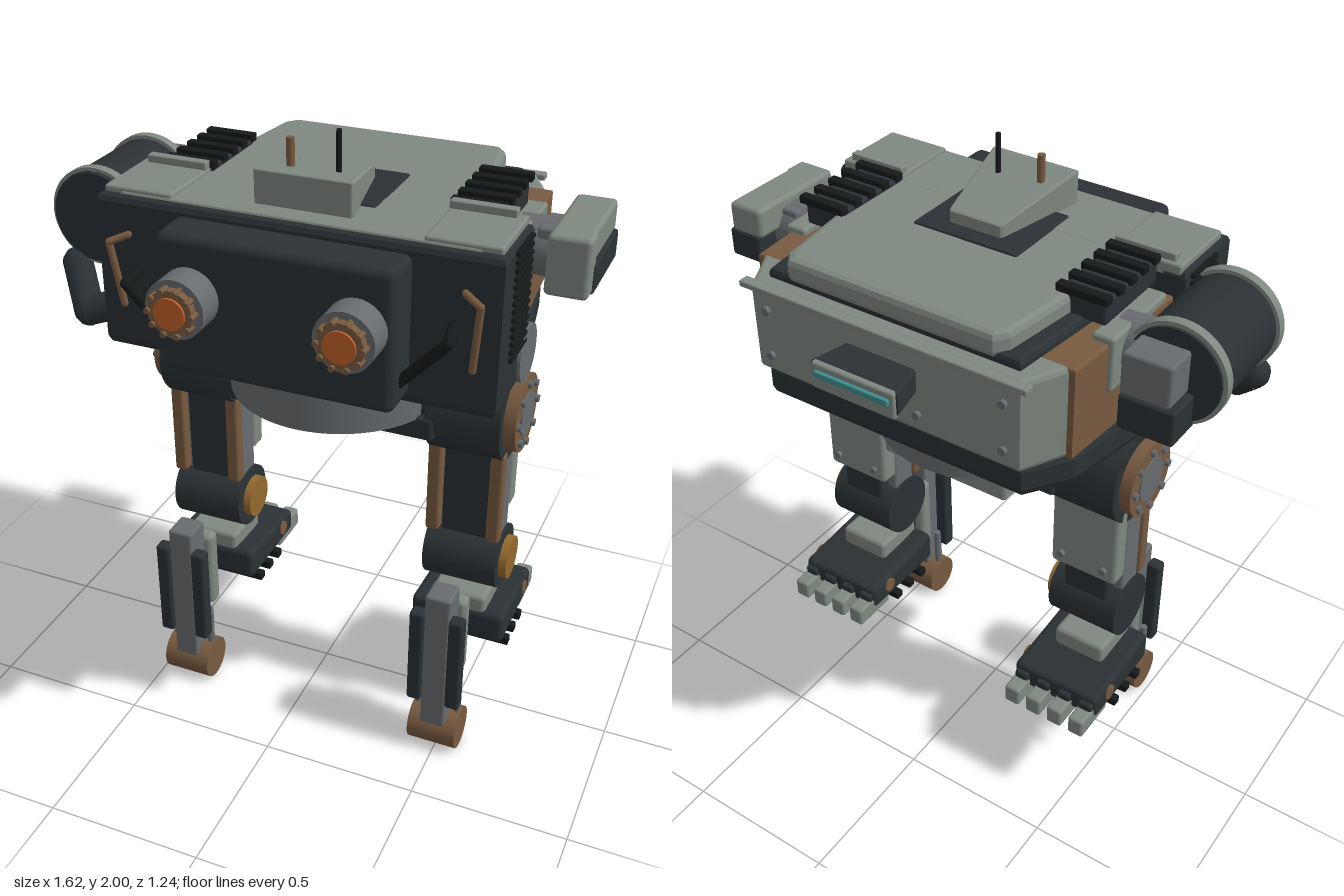
import * as THREE from 'three';
import { RoundedBoxGeometry } from 'three/addons/geometries/RoundedBoxGeometry.js';

const mat = (color) => new THREE.MeshStandardMaterial({ color });
const dark = mat(0x2b3134), light = mat(0x7f8881), grey = mat(0x686c6f), brown = mat(0x785a40),
  gold = mat(0x94692f), orange = mat(0xc0622a), teal = mat(0x3f8f90), black = mat(0x16191a);

function add(parent, name, geometry, material) {
  const m = new THREE.Mesh(geometry, material);
  m.name = name;
  parent.add(m);
  return m;
}

// Rounded box given by its lower and upper limits
function box(p, name, material, x0, x1, y0, y1, z0, z1, r = 0.01) {
  const w = Math.abs(x1 - x0), h = y1 - y0, d = Math.abs(z1 - z0);
  const m = add(p, name, new RoundedBoxGeometry(w, h, d, 2, Math.min(r, w / 3, h / 3, d / 3)), material);
  m.position.set((x0 + x1) / 2, (y0 + y1) / 2, (z0 + z1) / 2);
  return m;
}

// Cylinder centred on a point, along the x, y or z axis
function cyl(p, name, material, axis, x, y, z, r, len, sides = 32) {
  const g = new THREE.CylinderGeometry(r, r, len, sides);
  if (axis === 'x') g.rotateZ(Math.PI / 2);
  if (axis === 'z') g.rotateX(Math.PI / 2);
  const m = add(p, name, g, material);
  m.position.set(x, y, z);
  return m;
}

// Symmetric slab: half outline of [x, z] points, raised from y0 to y1
function slab(p, name, material, half, y0, y1, b = 0.015) {
  const pts = [...half, ...half.map(([x, z]) => [-x, z]).reverse()];
  const shape = new THREE.Shape(pts.map(([x, z]) => new THREE.Vector2(x, -z)));
  const g = new THREE.ExtrudeGeometry(shape, {
    depth: y1 - y0 - 2 * b, bevelThickness: b, bevelSize: b, bevelOffset: -b, bevelSegments: 2,
  });
  g.rotateX(-Math.PI / 2).translate(0, y0 + b, 0);
  return add(p, name, g, material);
}

// Bent rod through straight runs
function rod(p, name, material, pts, r) {
  const path = new THREE.CurvePath();
  const v = pts.map((a) => new THREE.Vector3(...a));
  for (let i = 1; i < v.length; i++) path.add(new THREE.LineCurve3(v[i - 1], v[i]));
  add(p, name, new THREE.TubeGeometry(path, 32, r, 10), material);
  for (const end of v) add(p, name + 'Joint', new THREE.SphereGeometry(r, 10, 8), material).position.copy(end);
}

function boltRing(p, axis, x, y, z, radius, count, r, len) {
  for (let i = 0; i < count; i++) {
    const a = (i / count) * Math.PI * 2, c = Math.cos(a) * radius, s = Math.sin(a) * radius;
    if (axis === 'x') cyl(p, 'bolt', grey, 'x', x, y + c, z + s, r, len, 8);
    else cyl(p, 'bolt', brown, 'z', x + c, y + s, z, r, len, 8);
  }
}

function buildHull(p) {
  slab(p, 'lowerHull', dark, [[0.6, 0.37], [0.6, 0.08], [0.53, -0.33], [0.44, -0.46]], 1.31, 1.43, 0.03);
  slab(p, 'frontHull', dark, [[0.6, 0.37], [0.6, 0.1]], 1.33, 1.79, 0.02);
  slab(p, 'sidePanels', brown, [[0.57, 0.12], [0.535, -0.36]], 1.42, 1.71, 0.008);
  slab(p, 'rearArmour', light, [[0.525, -0.345], [0.51, -0.37], [0.45, -0.485]], 1.42, 1.71);
  slab(p, 'upperDeck', dark, [[0.48, 0.15], [0.42, -0.44]], 1.69, 1.74);
  slab(p, 'topShell', light, [[0.46, 0.27], [0.43, 0.05], [0.37, -0.41], [0.34, -0.448]], 1.72, 1.795, 0.02);
  slab(p, 'frontDeck', light, [[0.53, 0.35], [0.53, 0.1]], 1.76, 1.797, 0.008);
  box(p, 'rearRail', light, -0.48, 0.48, 1.69, 1.71, -0.505, -0.47, 0.005);
  box(p, 'facePlate', dark, -0.35, 0.35, 1.34, 1.76, 0.3, 0.495, 0.025);
  for (const s of [-1, 1]) {
    box(p, 'cornerPlate', light, s * 0.37, s * 0.585, 1.775, 1.808, 0.1, 0.345, 0.008);
    // Roof vents and side louvres
    box(p, 'roofVent', dark, s * 0.365, s * 0.51, 1.73, 1.808, -0.17, 0.11);
    for (let i = 0; i < 5; i++)
      box(p, 'roofVentSlat', black, s * 0.36, s * 0.52, 1.8, 1.825, -0.185 + i * 0.065, -0.155 + i * 0.065, 0.004);
    box(p, 'ventEndCap', light, s * 0.37, s * 0.56, 1.808, 1.832, 0.11, 0.14, 0.004);
    for (let i = 0; i < 14; i++)
      box(p, 'sideLouvre', black, s * 0.59, s * 0.612, 1.45 + i * 0.024, 1.462 + i * 0.024, 0.13, 0.28, 0.003);
    cyl(p, 'sideBoss', grey, 'x', s * 0.575, 1.395, 0.095, 0.087, 0.07);
    // Bent guard bars on the face
    rod(p, 'guardBar', black, [[s * 0.33, 1.4, 0.43], [s * 0.48, 1.56, 0.44], [s * 0.47, 1.58, 0.36]], 0.017);
    rod(p, 'cheekBar', brown, [[s * 0.53, 1.46, 0.375], [s * 0.55, 1.66, 0.4], [s * 0.5, 1.68, 0.375]], 0.011);
    for (const [x, y] of [[0.4, 1.63], [0.4, 1.48], [0.12, 1.48]])
      cyl(p, 'rearBolt', grey, 'z', s * x, y, -0.488, 0.013, 0.02, 10);
  }
}

function buildEyes(p) {
  for (const s of [-1, 1]) {
    const x = s * 0.245, y = 1.585;
    cyl(p, 'eyeBarrel', grey, 'z', x, y, 0.53, 0.088, 0.11);
    cyl(p, 'eyeRing', brown, 'z', x, y, 0.595, 0.067, 0.03);
    cyl(p, 'eyeLens', orange, 'z', x, y, 0.6, 0.047, 0.034);
    boltRing(p, 'z', x, y, 0.6, 0.066, 10, 0.009, 0.04);
  }
}

function buildRoof(p) {
  box(p, 'roofRecess', dark, -0.176, 0.176, 1.77, 1.802, -0.09, 0.19, 0.006);
  // Tapered turret: narrow and low at the back, wide and high at the front
  const g = new RoundedBoxGeometry(2, 1, 1, 3, 0.06);
  const v = g.attributes.position;
  for (let i = 0; i < v.count; i++) {
    const t = v.getZ(i) + 0.5;
    v.setXYZ(i, v.getX(i) * (0.09 + 0.06 * t), 1.785 + (v.getY(i) + 0.5) * (0.055 + 0.06 * t), -0.035 + 0.32 * t);
  }
  g.computeVertexNormals();
  add(p, 'roofTurret', g, light);
  cyl(p, 'shortAntenna', brown, 'y', -0.076, 1.905, 0.19, 0.012, 0.12, 12);
  cyl(p, 'longAntenna', black, 'y', 0.062, 1.925, 0.175, 0.008, 0.15, 10);
}

function buildRearSensor(p) {
  slab(p, 'sensorHood', dark, [[0.115, -0.47], [0.145, -0.6]], 1.55, 1.625, 0.008);
  box(p, 'sensorHead', light, -0.14, 0.14, 1.54, 1.625, -0.61, -0.585, 0.008);
  box(p, 'sensorStrip', teal, -0.125, 0.125, 1.585, 1.605, -0.62, -0.605, 0.004);
}

function buildShoulders(p) {
  for (const s of [-1, 1]) {
    box(p, 'shoulderPlate', light, s * 0.49, s * 0.56, 1.56, 1.73, -0.21, 0.08);
    cyl(p, 'shoulderAxle', grey, 'x', s * 0.6, 1.65, -0.08, 0.085, 0.17);
  }
  // Left pod
  box(p, 'podUpper', light, 0.635, 0.755, 1.665, 1.76, -0.24, 0.1, 0.015);
  box(p, 'podFront', light, 0.635, 0.76, 1.58, 1.76, 0.02, 0.1, 0.015);
  box(p, 'podLower', dark, 0.65, 0.765, 1.58, 1.67, -0.24, 0.05);
  box(p, 'podInner', grey, 0.58, 0.68, 1.6, 1.73, -0.14, -0.01);
  // Right drum with its feed chute
  cyl(p, 'drum', dark, 'z', -0.705, 1.64, 0.04, 0.142, 0.34, 48);
  for (const z of [-0.12, 0.195]) cyl(p, 'drumRim', light, 'z', -0.705, 1.64, z, 0.153, 0.03, 48);
  for (const z of [-0.138, 0.216]) cyl(p, 'drumCap', dark, 'z', -0.705, 1.64, z, 0.14, 0.012, 48);
  box(p, 'drumMount', grey, -0.75, -0.6, 1.6, 1.73, -0.245, -0.13);
  box(p, 'drumBracket', dark, -0.77, -0.6, 1.49, 1.6, -0.25, -0.12);
  rod(p, 'feedChute', dark, [[-0.79, 1.48, 0.21], [-0.705, 1.37, 0.3], [-0.58, 1.41, 0.27]], 0.047);
}

function buildPelvis(p) {
  cyl(p, 'waistRing', grey, 'y', 0, 1.225, 0.01, 0.34, 0.17, 64);
  cyl(p, 'waistCollar', dark, 'y', 0, 1.3, 0.01, 0.355, 0.03, 64);
  box(p, 'pelvis', dark, -0.36, 0.36, 1.07, 1.15, -0.16, 0.16, 0.015);
  for (const s of [-1, 1]) box(p, 'pelvisLug', dark, s * 0.28, s * 0.36, 1.07, 1.23, -0.14, 0.14, 0.02);
  box(p, 'pelvisRearBar', light, -0.23, 0.23, 1.03, 1.125, -0.22, -0.15, 0.015);
}

// Leg centred on its own x = 0; s points outward
function buildLeg(s) {
  const p = new THREE.Group();
  cyl(p, 'hip', dark, 'x', 0, 1.145, 0, 0.155, 0.23, 48);
  cyl(p, 'hipFlange', brown, 'x', s * 0.13, 1.145, 0, 0.122, 0.045, 40);
  cyl(p, 'hipHub', grey, 'x', s * 0.135, 1.145, 0, 0.07, 0.045);
  boltRing(p, 'x', s * 0.155, 1.145, 0, 0.097, 8, 0.012, 0.02);
  // Thigh and knee
  box(p, 'thigh', dark, -0.078, 0.078, 0.64, 1.1, -0.085, 0.055);
  for (const t of [-1, 1]) {
    box(p, 'thighStrut', brown, t * 0.076, t * 0.12, 0.71, 1.03, 0.05, 0.092);
    box(p, 'thighSidePlate', grey, t * 0.07, t * 0.112, 0.7, 1.04, -0.045, 0.05);
    cyl(p, 'thighBolt', grey, 'z', t * 0.075, 0.82, -0.114, 0.012, 0.015, 10);
  }
  box(p, 'thighRearPlate', light, -0.115, 0.115, 0.77, 1.06, -0.108, -0.04, 0.015);
  cyl(p, 'knee', dark, 'x', 0, 0.61, 0, 0.105, 0.24, 40);
  cyl(p, 'kneeCap', gold, 'x', 0.13, 0.61, 0, 0.07, 0.03);
  // Forward shin with a roller
  box(p, 'shin', grey, -0.042, 0.042, 0.1, 0.612, 0.205, 0.3);
  for (const t of [-1, 1]) {
    box(p, 'shinGuard', dark, t * 0.04, t * 0.087, 0.2, 0.545, 0.265, 0.312);
    cyl(p, 'shinRod', grey, 'y', t * 0.065, 0.18, 0.24, 0.012, 0.2, 12);
  }
  box(p, 'shinRearPlate', light, -0.065, 0.065, 0.27, 0.55, 0.155, 0.21, 0.02);
  box(p, 'shinRearStrip', dark, -0.03, 0.03, 0.34, 0.45, 0.138, 0.16, 0.005);
  cyl(p, 'roller', brown, 'x', 0, 0.07, 0.24, 0.07, 0.16);
  // Rear foot with cleats and toes
  const foot = box(p, 'foot', dark, -0.155, 0.155, 0.32, 0.43, -0.25, 0.088, 0.02);
  const v = foot.geometry.attributes.position;
  for (let i = 0; i < v.count; i++)
    if (v.getY(i) > 0 && v.getZ(i) < 0) v.setY(i, v.getY(i) - 0.025);
  foot.geometry.computeVertexNormals();
  box(p, 'footCap', light, -0.09, 0.09, 0.41, 0.482, -0.11, 0.08, 0.015);
  for (const z of [0.02, -0.05, -0.12])
    box(p, 'cleat', black, -0.163, 0.163, 0.28, 0.308, z - 0.015, z + 0.015, 0.004);
  for (let i = 0; i < 4; i++) {
    const x = -0.12 + i * 0.08;
    box(p, 'toe', light, x - 0.027, x + 0.027, 0.292, 0.36, -0.32, -0.16);
    box(p, 'toeKnuckle', dark, x - 0.024, x + 0.024, 0.32, 0.385, -0.265, -0.15);
  }
  cyl(p, 'toePivot', brown, 'x', 0, 0.375, -0.165, 0.025, 0.32, 16);
  return p;
}

export function createModel() {
  const root = new THREE.Group();
  root.name = 'walker';
  const parts = { hull: buildHull, eyes: buildEyes, roof: buildRoof, rearSensor: buildRearSensor,
    shoulders: buildShoulders, pelvis: buildPelvis };
  for (const [name, build] of Object.entries(parts)) {
    const g = new THREE.Group();
    g.name = name;
    build(g);
    root.add(g);
  }
  for (const s of [-1, 1]) {
    const leg = buildLeg(s);
    leg.name = s > 0 ? 'leftLeg' : 'rightLeg';
    leg.position.x = s * 0.445;
    root.add(leg);
  }
  for (const child of root.children) child.position.x += 0.048;
  return root;
}
